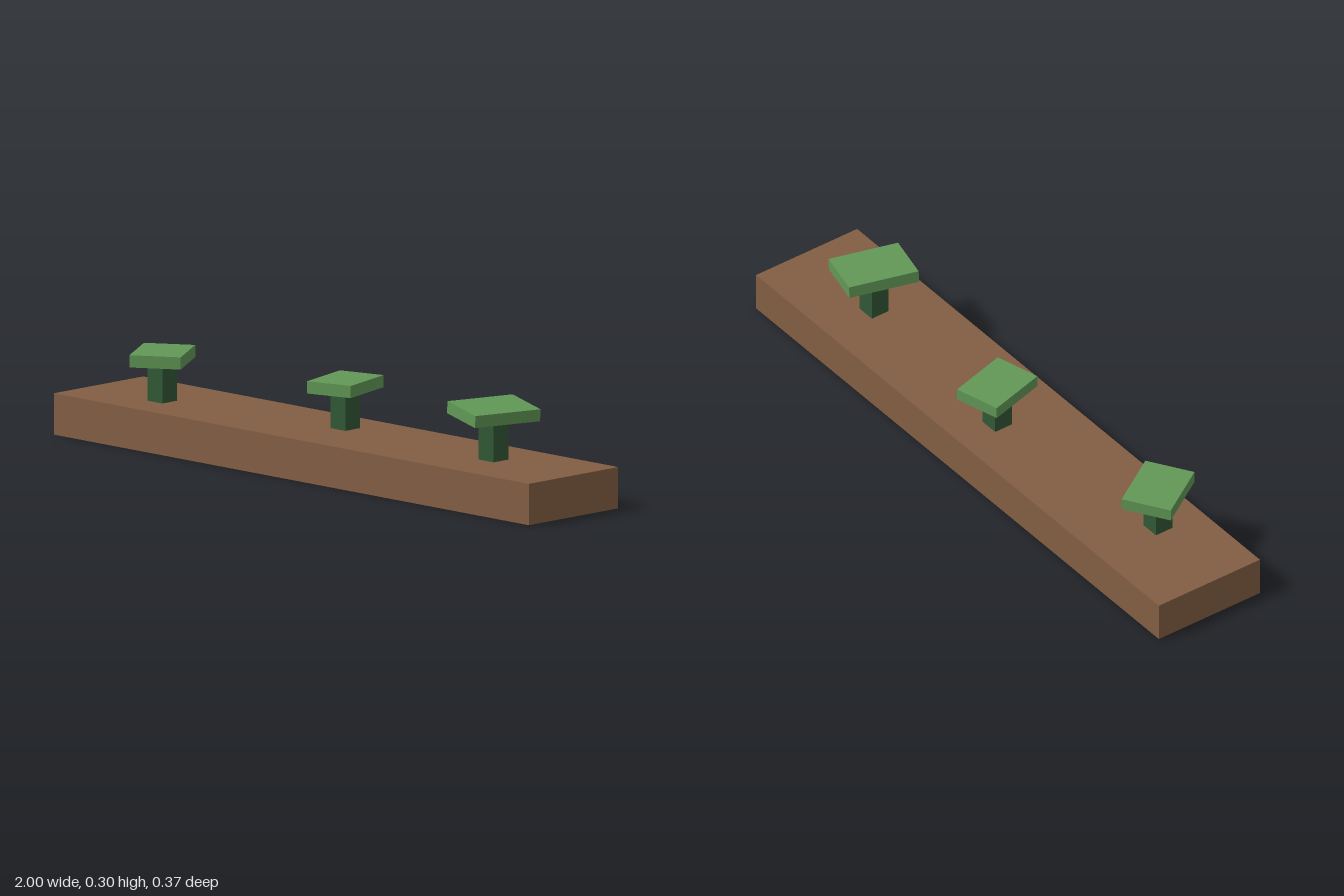
import * as THREE from 'three';

// Box without its bottom face, standing on y = 0
function openBox(w, h, d) {
  const geo = new THREE.BoxGeometry(w, h, d).translate(0, h / 2, 0);
  const index = Array.from(geo.index.array);
  index.splice(18, 6); // the downward side
  geo.setIndex(index);
  geo.clearGroups();
  return geo;
}

function flat(name, color) {
  const m = new THREE.MeshStandardMaterial({ color, side: THREE.DoubleSide });
  m.name = name;
  return m;
}

export function createModel() {
  const group = new THREE.Group();
  group.name = 'planter';
  const soil = flat('soil brown', 0x835e43);
  const stem = flat('stem dark green', 0x325835);
  const leaf = flat('leaf green', 0x619856);

  const add = (parent, name, geo, mat, x, y, z) => {
    const mesh = new THREE.Mesh(geo, mat);
    mesh.name = name;
    mesh.position.set(x, y, z);
    parent.add(mesh);
    return mesh;
  };

  // Long hollow bed
  const bedTop = 0.125;
  add(group, 'bed', openBox(2, bedTop, 0.374), soil, 0, 0, 0);

  // Sprouts: square stem with a turned, hollow slab of leaves on top
  const capH = 0.037;
  const sprouts = [
    { name: 'rightSprout', x: -0.69, z: 0.041, w: 0.156, d: 0.2, y: 0.241, turn: 0.57, tilt: 0 },
    { name: 'middleSprout', x: -0.003, z: -0.042, w: 0.149, d: 0.197, y: 0.239, turn: 0.27, tilt: 0 },
    { name: 'leftSprout', x: 0.656, z: -0.007, w: 0.172, d: 0.221, y: 0.253, turn: -0.275, tilt: -0.096 },
  ];
  for (const s of sprouts) {
    const sprout = new THREE.Group();
    sprout.name = s.name;
    sprout.position.set(s.x, 0, s.z);
    const stemH = s.y + capH - 0.005 - bedTop; // reaches up inside the leaf slab
    add(sprout, 'stem', openBox(0.062, stemH, 0.062), stem, 0, bedTop, 0);
    const cap = add(sprout, 'leafSlab', openBox(s.w, capH, s.d), leaf, 0, s.y, 0);
    cap.rotation.set(0, s.turn, s.tilt);
    group.add(sprout);
  }
  return group;
}
